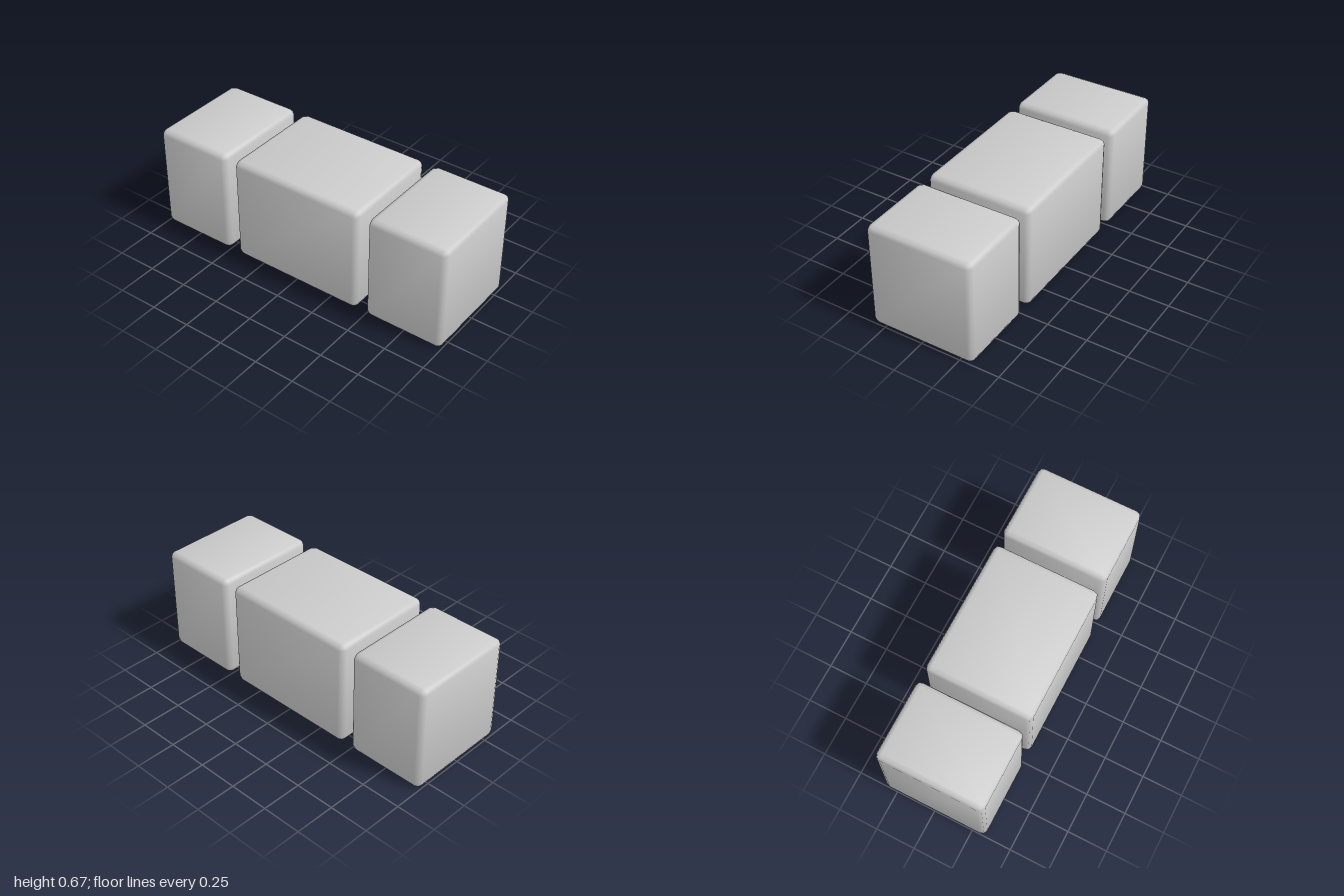
import * as THREE from 'three';

const SIZE = 2 / 3;      // height and depth of every block
const BEVEL = 0.034;

// Box with a two-step rounded bevel and normals that lean softly towards the edges
function bevelledBox(width, height, depth, r) {
  const geo = new THREE.BoxGeometry(1, 1, 1, 3, 3, 3);
  const pos = geo.attributes.position;
  const nor = geo.attributes.normal;
  const core = [width / 2 - r, height / 2 - r, depth / 2 - r];
  const dir = new THREE.Vector3();
  const lean = new THREE.Vector3();
  for (let i = 0; i < pos.count; i++) {
    const c = [pos.getX(i), pos.getY(i), pos.getZ(i)];
    const sign = c.map(Math.sign);
    const outer = c.map((v) => Math.abs(v) > 0.4);
    dir.fromArray(sign.map((s, k) => (outer[k] ? s : 0))).normalize();
    lean.fromArray(sign.map((s, k) => (outer[k] ? s : 0.2 * s))).normalize();
    pos.setXYZ(i,
      sign[0] * core[0] + dir.x * r,
      sign[1] * core[1] + dir.y * r,
      sign[2] * core[2] + dir.z * r);
    nor.setXYZ(i, lean.x, lean.y, lean.z);
  }
  return geo;
}

export function createModel() {
  const group = new THREE.Group();
  group.name = 'blockRow';
  const material = new THREE.MeshStandardMaterial({ color: 0xcccccc });

  // A wide middle block between two narrower end blocks
  const blocks = [
    ['rightBlock', -0.75, 0.5],
    ['middleBlock', 0, 0.866],
    ['leftBlock', 0.75, 0.5],
  ];
  for (const [name, x, width] of blocks) {
    const mesh = new THREE.Mesh(bevelledBox(width, SIZE, SIZE, BEVEL), material);
    mesh.name = name;
    mesh.position.set(x, SIZE / 2, 0);
    group.add(mesh);
  }
  return group;
}
